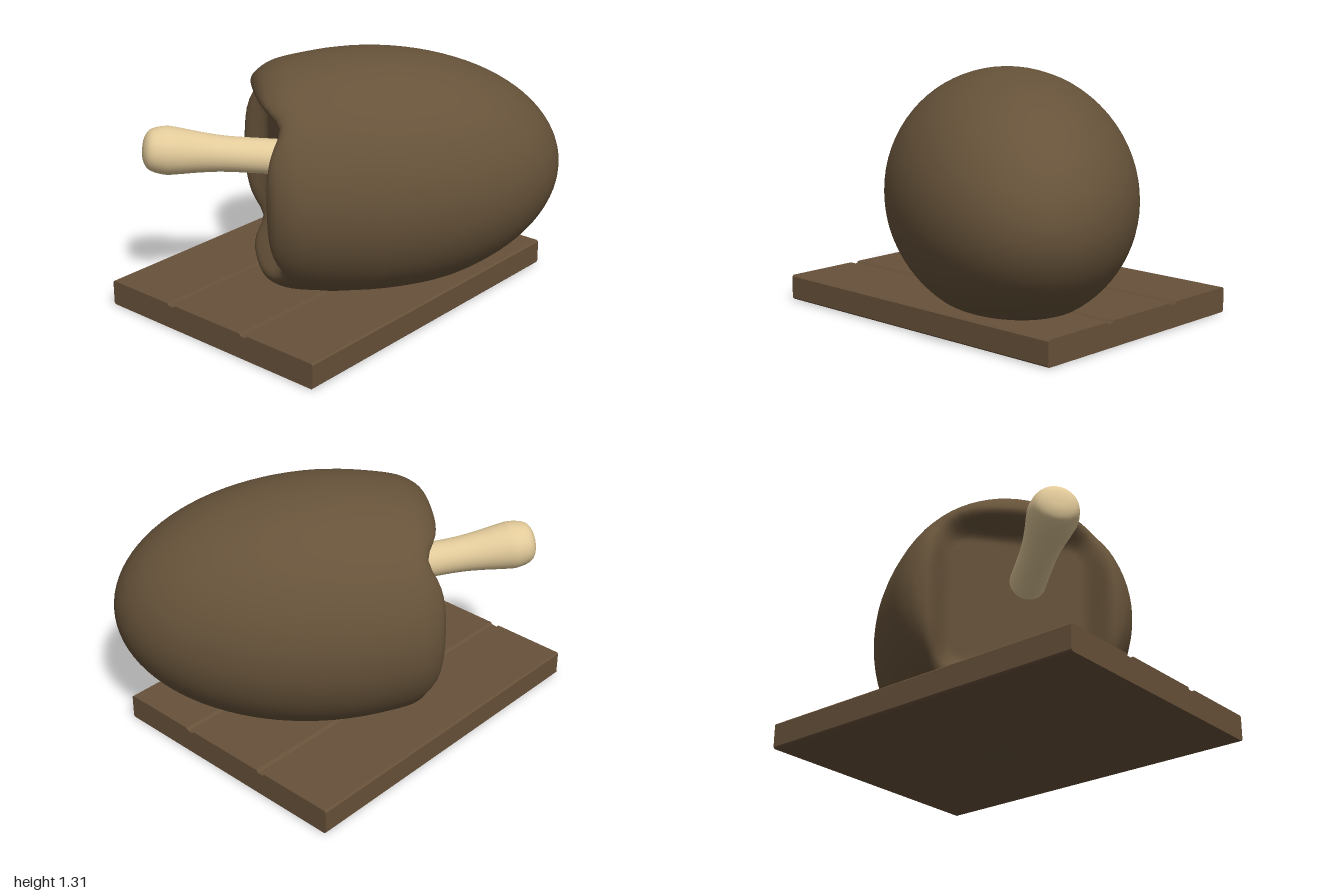
import * as THREE from 'three';
import { mergeVertices } from 'three/addons/utils/BufferGeometryUtils.js';

const meatBrown = new THREE.MeshStandardMaterial({ name: 'meat brown', color: 0x67533a });
const woodBrown = new THREE.MeshStandardMaterial({ name: 'wood brown', color: 0x67513a });
const boneCream = new THREE.MeshStandardMaterial({ name: 'bone cream', color: 0xe2ca9a });

function named(name, geometry, material) {
  const mesh = new THREE.Mesh(geometry, material);
  mesh.name = name;
  return mesh;
}

// Round solid along +x from (radius, position) points, smooth without a seam
function turned(points, segments, deform) {
  const g = new THREE.LatheGeometry(points, segments).rotateZ(-Math.PI / 2);
  if (deform) {
    const p = g.attributes.position;
    for (let i = 0; i < p.count; i++) {
      p.setX(i, deform(p.getX(i), p.getY(i), p.getZ(i)));
    }
  }
  g.deleteAttribute('normal');
  g.deleteAttribute('uv');
  const merged = mergeVertices(g, 1e-4);
  merged.computeVertexNormals();
  return merged;
}

const spline = (pts, n) =>
  new THREE.SplineCurve(pts.map(([r, u]) => new THREE.Vector2(r, u))).getPoints(n)
    .map((p) => new THREE.Vector2(Math.max(p.x, 0), p.y));

// Board of three planks: chamfered cross-section with two shallow grooves
function boardGeometry() {
  const back = 0.82, front = -0.585, low = 0.005, top = 0.14, c = 0.008;
  const s = new THREE.Shape();
  s.moveTo(front + c, low);
  s.lineTo(back - c, low);
  s.lineTo(back, low + c);
  s.lineTo(back, top - c);
  s.lineTo(back - c, top);
  for (const z of [0.405, -0.105]) {
    s.lineTo(z, top);
    s.lineTo(z - 0.01, top - 0.012);
    s.lineTo(z - 0.04, top - 0.012);
    s.lineTo(z - 0.055, top);
  }
  s.lineTo(front + c, top);
  s.lineTo(front, top - c);
  s.lineTo(front, low + c);
  s.closePath();
  const g = new THREE.ExtrudeGeometry(s, { depth: 1.88, bevelEnabled: false });
  return g.rotateY(Math.PI / 2).translate(-1, 0, 0);
}

// Egg-shaped joint with a soft square hollow in its cut end
function meatGeometry() {
  const profile = spline([
    [0, -0.53], [0.15, -0.53], [0.3, -0.53], [0.42, -0.53], [0.5, -0.52],
    [0.56, -0.475], [0.61, -0.37], [0.645, -0.15], [0.655, 0.02],
  ], 56);
  for (let i = 1; i <= 24; i++) {
    const a = (i / 24) * Math.PI / 2;
    profile.push(new THREE.Vector2(i === 24 ? 0 : 0.655 * Math.cos(a), 0.02 + 1.09 * Math.sin(a)));
  }
  return turned(profile, 72, (u, y, v) => {
    const m = Math.pow(Math.abs(y) ** 10 + Math.abs(v) ** 10, 0.1);
    const hollow = 1 - THREE.MathUtils.smoothstep(m, 0.33, 0.48);
    const rear = 1 - THREE.MathUtils.smoothstep(u, -0.5, -0.25);
    return u + 0.12 * hollow * rear;
  });
}

// Shank bone with a swollen, blunt knuckle
function boneGeometry() {
  return turned(spline([
    [0, -1.115], [0.06, -1.107], [0.105, -1.075], [0.125, -1.0], [0.12, -0.93],
    [0.105, -0.82], [0.094, -0.7], [0.092, -0.55], [0.095, -0.25],
  ], 40), 32);
}

export function createModel() {
  const model = new THREE.Group();
  model.name = 'meatOnBoard';
  model.add(named('board', boardGeometry(), woodBrown));

  // The joint lies diagonally across the board
  const joint = new THREE.Group();
  joint.name = 'joint';
  joint.rotation.y = THREE.MathUtils.degToRad(-39);
  const meat = named('meat', meatGeometry(), meatBrown);
  meat.position.set(0, 0.655, -0.06);
  const bone = named('bone', boneGeometry(), boneCream);
  bone.position.set(0, 0.72, -0.005);
  bone.rotation.z = -0.13;
  joint.add(meat, bone);
  model.add(joint);
  return model;
}
